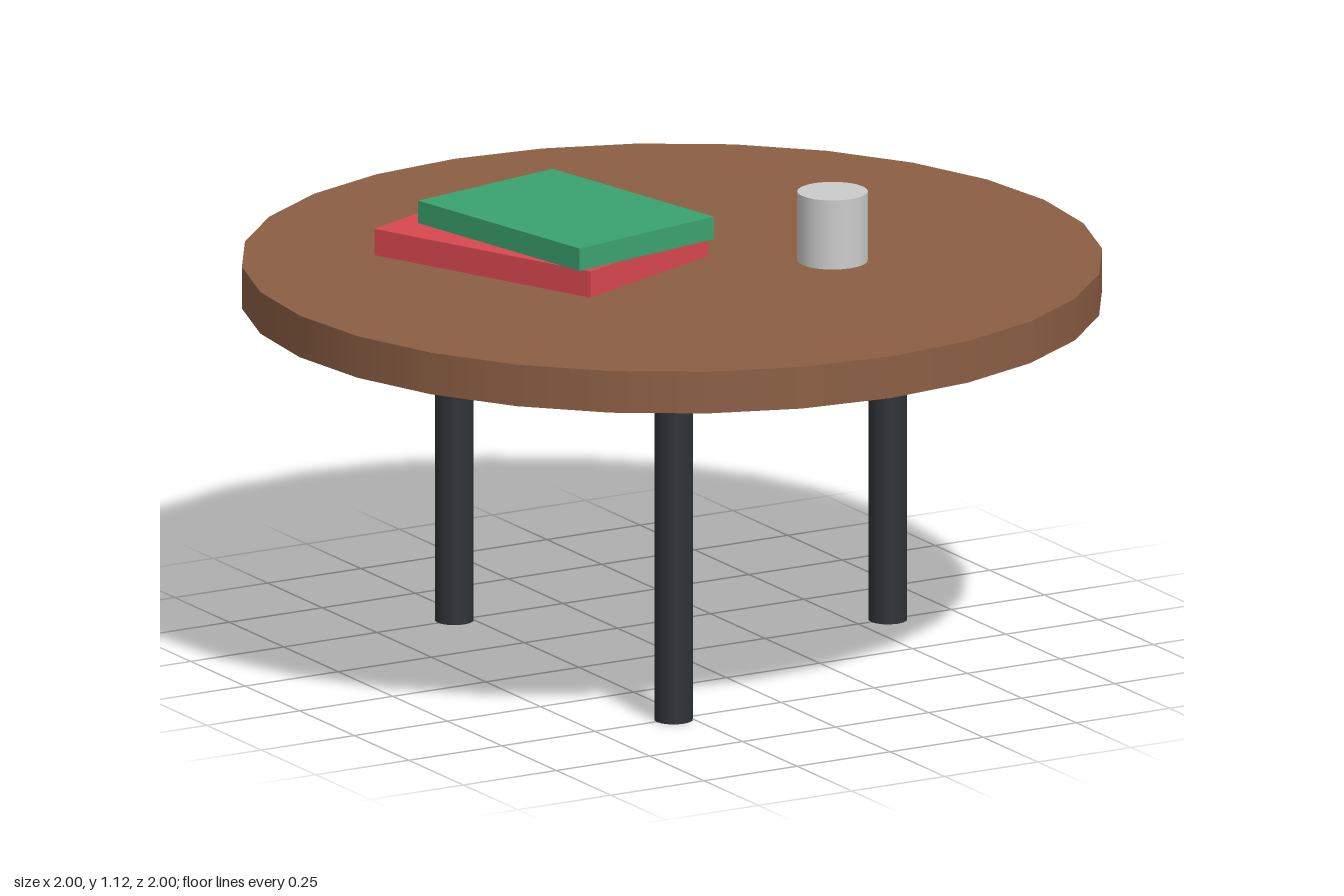
import * as THREE from 'three';

const mat = (color) => new THREE.MeshStandardMaterial({ color });

export function createModel() {
  const group = new THREE.Group();
  const add = (name, geometry, material, x, y, z, turn = 0) => {
    const mesh = new THREE.Mesh(geometry, material);
    mesh.name = name;
    mesh.position.set(x, y, z);
    mesh.rotation.y = turn;
    group.add(mesh);
  };

  // Round top
  add('tableTop', new THREE.CylinderGeometry(1, 1, 0.1, 28), mat(0x8b5e43), 0, 0.9, 0);

  // Three legs, evenly spaced on a circle
  const legGeometry = new THREE.CylinderGeometry(0.045, 0.045, 0.85, 16);
  const legMaterial = mat(0x2f3238);
  for (let i = 0; i < 3; i++) {
    const a = (i * Math.PI * 2) / 3;
    add(`leg${i + 1}`, legGeometry, legMaterial, 0.58 * Math.cos(a), 0.425, 0.58 * Math.sin(a));
  }

  // Two stacked books, each turned a little
  add('lowerBook', new THREE.BoxGeometry(0.455, 0.063, 0.625), mat(0xd9484f), -0.252, 0.9815, -0.17, 0.4);
  add('upperBook', new THREE.BoxGeometry(0.418, 0.054, 0.561), mat(0x3aa36f), -0.21, 1.04, -0.127, 0.2);

  // Plain cup
  add('cup', new THREE.CylinderGeometry(0.082, 0.082, 0.166, 24), mat(0xcccccc), 0.31, 1.033, 0.207);

  return group;
}
